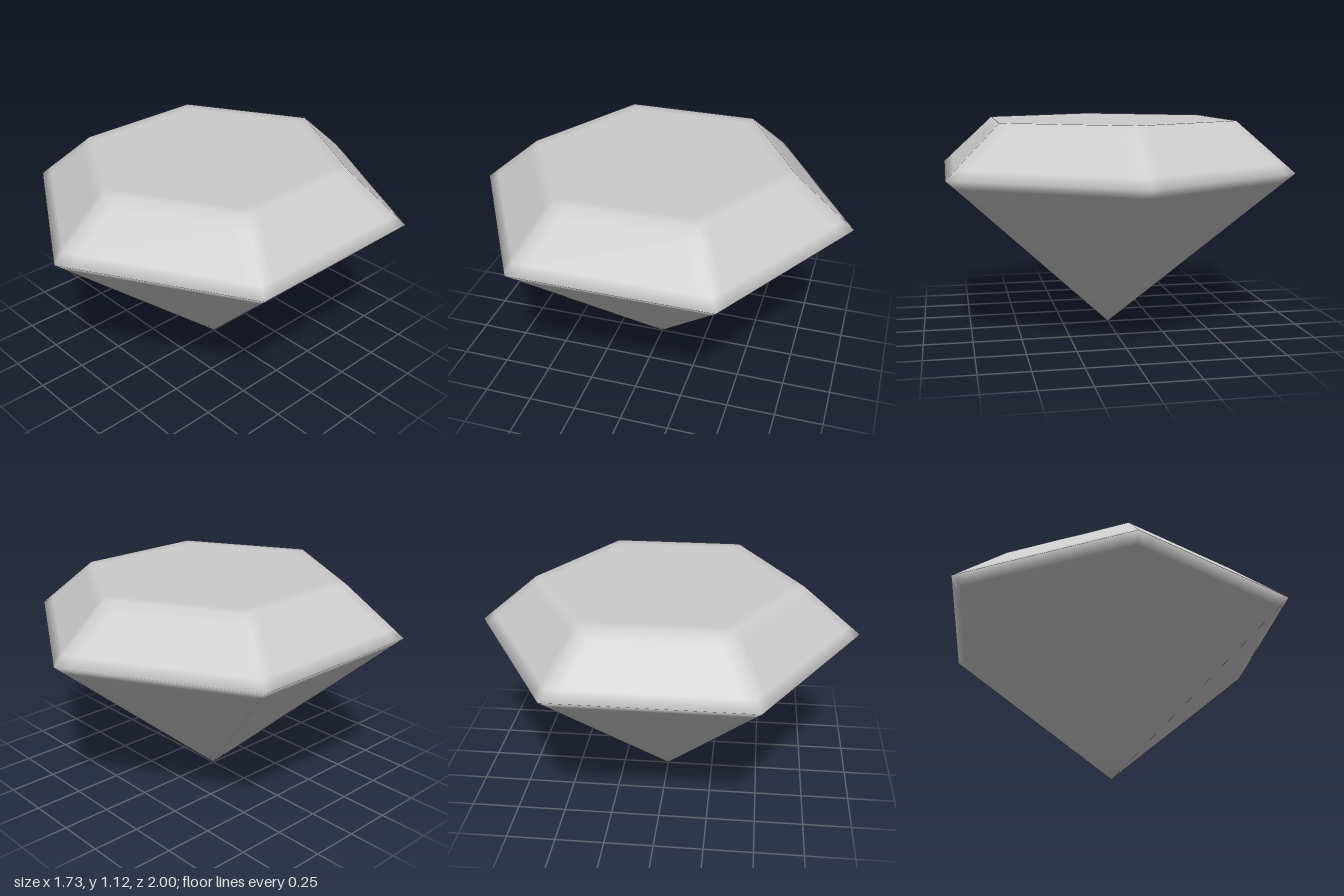
import * as THREE from 'three';

const SIDES = 6;
const SOFT = 0.065; // width of the softly shaded border along each facet edge

export function createModel() {
  const group = new THREE.Group();
  group.name = 'gem';
  const material = new THREE.MeshStandardMaterial({ color: 0xcccccc });

  // Corners: table ring, girdle ring, bottom tip
  const ring = (radius, y) => Array.from({ length: SIDES }, (_, i) => {
    const t = (i / SIDES) * Math.PI * 2;
    return new THREE.Vector3(Math.sin(t) * radius, y, Math.cos(t) * radius);
  });
  const points = [...ring(0.693, 1.12), ...ring(1, 0.862), new THREE.Vector3()];
  const top = (i) => i % SIDES;
  const girdle = (i) => SIDES + (i % SIDES);
  const tip = SIDES * 2;

  // Facets as corner loops, counter-clockwise from outside
  const index = [...Array(SIDES).keys()];
  const parts = {
    table: [index.map(top)],
    crown: index.map((i) => [girdle(i), girdle(i + 1), top(i + 1), top(i)]),
    pavilion: index.map((i) => [girdle(i + 1), girdle(i), tip]),
  };
  const facets = Object.values(parts).flat();
  const normalOf = (f) => new THREE.Triangle(points[f[0]], points[f[1]], points[f[2]])
    .getNormal(new THREE.Vector3());

  // Average normal of all facets that share the given corners
  const blended = (...corners) => facets
    .filter((f) => corners.every((c) => f.includes(c)))
    .reduce((sum, f) => sum.add(normalOf(f)), new THREE.Vector3())
    .normalize();

  // Flat facet whose normals bend toward its neighbours at the border
  function addFacet(f, positions, normals) {
    const flat = normalOf(f);
    const n = f.length;
    const tri = (...vs) => vs.forEach((v) => {
      positions.push(...v.p.toArray());
      normals.push(...v.n.toArray());
    });
    const quad = (a, b, c, d) => { tri(a, b, c); tri(a, c, d); };
    const corners = f.map((c, i) => {
      const next = f[(i + 1) % n];
      const prev = f[(i + n - 1) % n];
      const p = points[c];
      const e1 = points[next].clone().sub(p).normalize();
      const e2 = points[prev].clone().sub(p).normalize();
      const d = SOFT / Math.sin(e1.angleTo(e2));
      return {
        outer: { p, n: blended(c) },
        ahead: { p: p.clone().addScaledVector(e1, d), n: blended(c, next) },
        behind: { p: p.clone().addScaledVector(e2, d), n: blended(c, prev) },
        inner: { p: p.clone().addScaledVector(e1, d).addScaledVector(e2, d), n: flat },
      };
    });
    corners.forEach((k, i) => {
      const m = corners[(i + 1) % n];
      quad(k.outer, k.ahead, k.inner, k.behind); // corner patch
      quad(k.ahead, m.behind, m.inner, k.inner); // edge strip
      if (i > 0 && i < n - 1) tri(corners[0].inner, k.inner, m.inner); // flat middle
    });
  }

  for (const [name, list] of Object.entries(parts)) {
    const positions = [];
    const normals = [];
    list.forEach((f) => addFacet(f, positions, normals));
    const geometry = new THREE.BufferGeometry();
    geometry.setAttribute('position', new THREE.Float32BufferAttribute(positions, 3));
    geometry.setAttribute('normal', new THREE.Float32BufferAttribute(normals, 3));
    const mesh = new THREE.Mesh(geometry, material);
    mesh.name = name;
    group.add(mesh);
  }
  return group;
}
